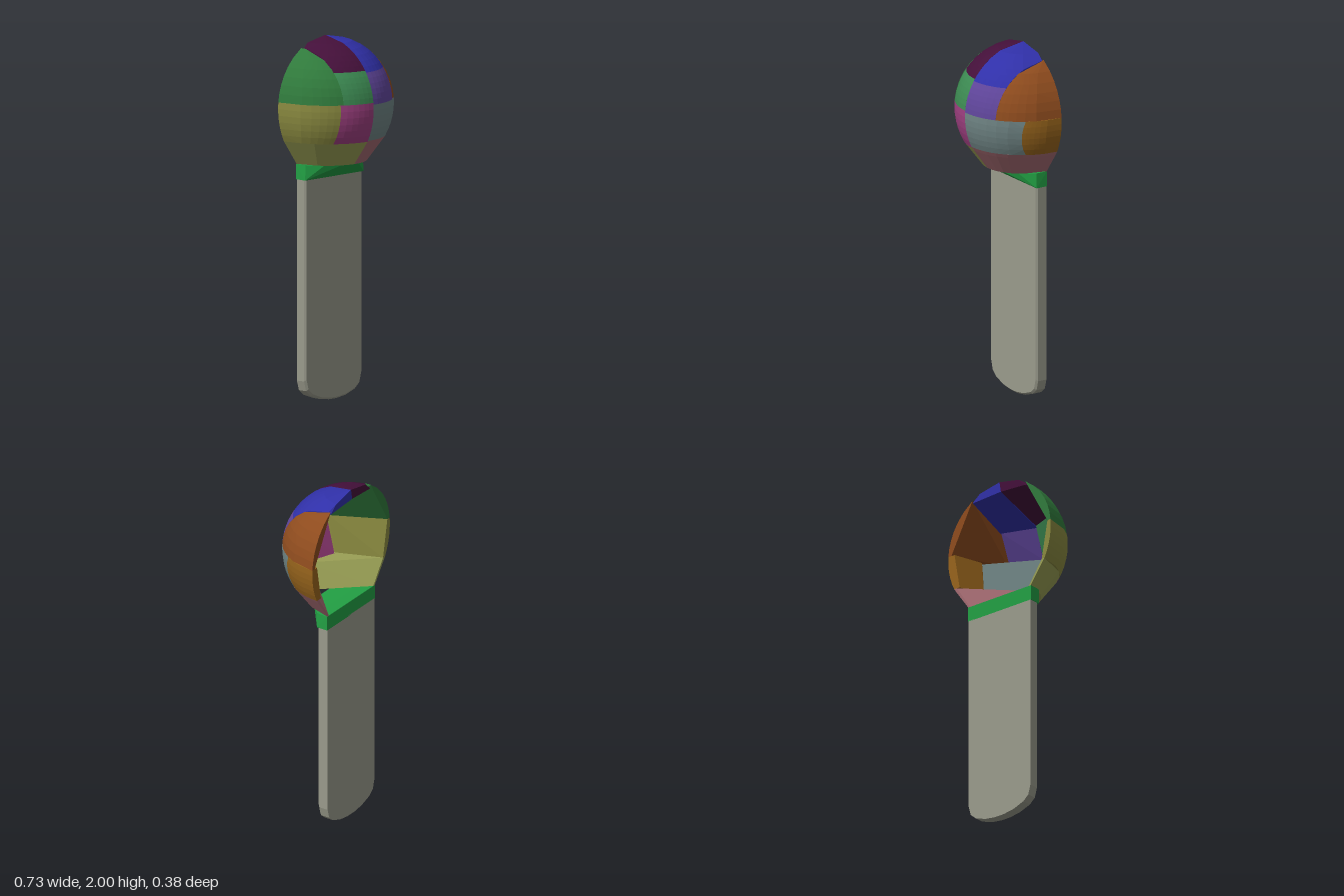
import * as THREE from 'three';
import { ConvexGeometry } from 'three/addons/geometries/ConvexGeometry.js';

const BACK = -0.19; // flat rear plane
const CY = 1.635; // height of the ball's centre
const RX = 0.365, RZ = 0.38;

// relative ball radius at height y, with a straight taper below the last seam
function ring(y) {
  if (y < 1.45) return THREE.MathUtils.mapLinear(y, 1.315, 1.45, 0.61, 0.877);
  const t = (y - CY) / (y > CY ? 0.365 : 0.385);
  return Math.sqrt(Math.max(0, 1 - t * t));
}

function hull(name, points, color) {
  const material = new THREE.MeshStandardMaterial({ color, flatShading: true });
  const mesh = new THREE.Mesh(new ConvexGeometry(points), material);
  mesh.name = name;
  return mesh;
}

// one chunky tile of the ball: x0..x1 by y0..y1, side edges may lean (lean0, lean1 at the bottom)
function tile({ name, color, x0, x1, y0, y1, lean0 = 0, lean1 = 0, inner = 0.94, extra = [] }) {
  const points = [...extra];
  const n = 6;
  for (let j = 0; j <= n; j++) {
    const v = j / n, y = y0 + (y1 - y0) * v;
    const k = ring(y), limit = RX * k;
    const a = THREE.MathUtils.clamp(x0 + lean0 * (1 - v), -limit, limit);
    const b = THREE.MathUtils.clamp(x1 + lean1 * (1 - v), -limit, limit);
    for (let i = 0; i <= n; i++) {
      const x = a + (b - a) * i / n;
      const depth = RZ * Math.sqrt(Math.max(0, k * k - (x / RX) ** 2));
      points.push(new THREE.Vector3(x, y, BACK + depth));
      // inside corners give the tile its thickness
      if (i % n === 0 && j % n === 0) {
        const xi = THREE.MathUtils.clamp(x * inner, Math.min(a, b), Math.max(a, b));
        const zi = BACK + depth * inner;
        points.push(new THREE.Vector3(x0 > 0.25 ? x * inner : xi, y, zi));
      }
    }
  }
  return hull(name, points, color);
}

export function createModel() {
  const model = new THREE.Group();
  const p = (x, y, z) => new THREE.Vector3(x, y, z);

  // patchwork half ball
  const ball = new THREE.Group();
  ball.name = 'ball';
  const M = -0.01; // middle seam
  const tiles = [
    { name: 'upperRightTile', color: 0x307a3c, x0: -0.365, x1: -0.185, y0: 1.67, y1: 1.948 },
    { name: 'topRightTile', color: 0x44103a, x0: -0.185, x1: M, y0: 1.84, y1: 2,
      extra: [p(M, 1.94, BACK), p(-0.18, 1.93, BACK)] },
    { name: 'topLeftTile', color: 0x3030a8, x0: M, x1: 0.195, y0: 1.83, y1: 2,
      extra: [p(M, 1.94, BACK), p(0.19, 1.93, BACK)] },
    { name: 'upperLeftTile', color: 0x8f4c1e, x0: 0.195, x1: 0.365, y0: 1.66, y1: 1.945 },
    { name: 'frontUpperRightTile', color: 0x3c8a52, x0: -0.185, x1: M, y0: 1.67, y1: 1.84 },
    { name: 'frontUpperLeftTile', color: 0x5f459a, x0: M, x1: 0.195, y0: 1.66, y1: 1.83 },
    { name: 'lowerRightTile', color: 0x8a8a40, x0: -0.365, x1: -0.2, y0: 1.45, y1: 1.67 },
    { name: 'frontLowerRightTile', color: 0x9e3f80, x0: -0.2, x1: M, y0: 1.45, y1: 1.67 },
    { name: 'frontLowerLeftTile', color: 0x6f8484, x0: M, x1: 0.31, lean1: -0.035, y0: 1.455, y1: 1.66 },
    { name: 'lowerLeftTile', color: 0x97641c, x0: 0.31, lean0: -0.035, x1: 0.365, y0: 1.455, y1: 1.66, inner: 0.88 },
    { name: 'bottomRightTile', color: 0x9aa055, x0: -0.365, x1: M, y0: 1.315, y1: 1.45 },
    { name: 'bottomLeftTile', color: 0xa56b72, x0: M, x1: 0.365, y0: 1.315, y1: 1.455 },
  ];
  for (const t of tiles) ball.add(tile(t));
  model.add(ball);

  // collar flaring from the stick to the ball
  const collar = [];
  for (const s of [-1, 1]) {
    collar.push(
      p(s * 0.225, 1.23, BACK), p(s * 0.225, 1.23, -0.122),
      p(s * 0.225, 1.315, BACK), p(s * 0.222, 1.315, -0.122),
      p(s * 0.15, 1.312, -0.05), p(s * 0.07, 1.308, -0.005),
    );
  }
  model.add(hull('collar', collar, 0x22a044));

  // flat stick with a rounded foot and slightly bevelled front
  const stick = [];
  const foot = [[0.22, 1.235], [0.22, 0.12], [0.205, 0.065], [0.17, 0.035], [0.1, 0.01], [0.03, 0]];
  for (const s of [-1, 1]) {
    for (const [x, y] of foot) {
      stick.push(p(s * x, y, BACK), p(s * x, y, -0.135));
      stick.push(p(s * x * 0.96, y > 1 ? y : y + 0.01, -0.124));
    }
  }
  model.add(hull('stick', stick, 0x9a9b8c));

  return model;
}
